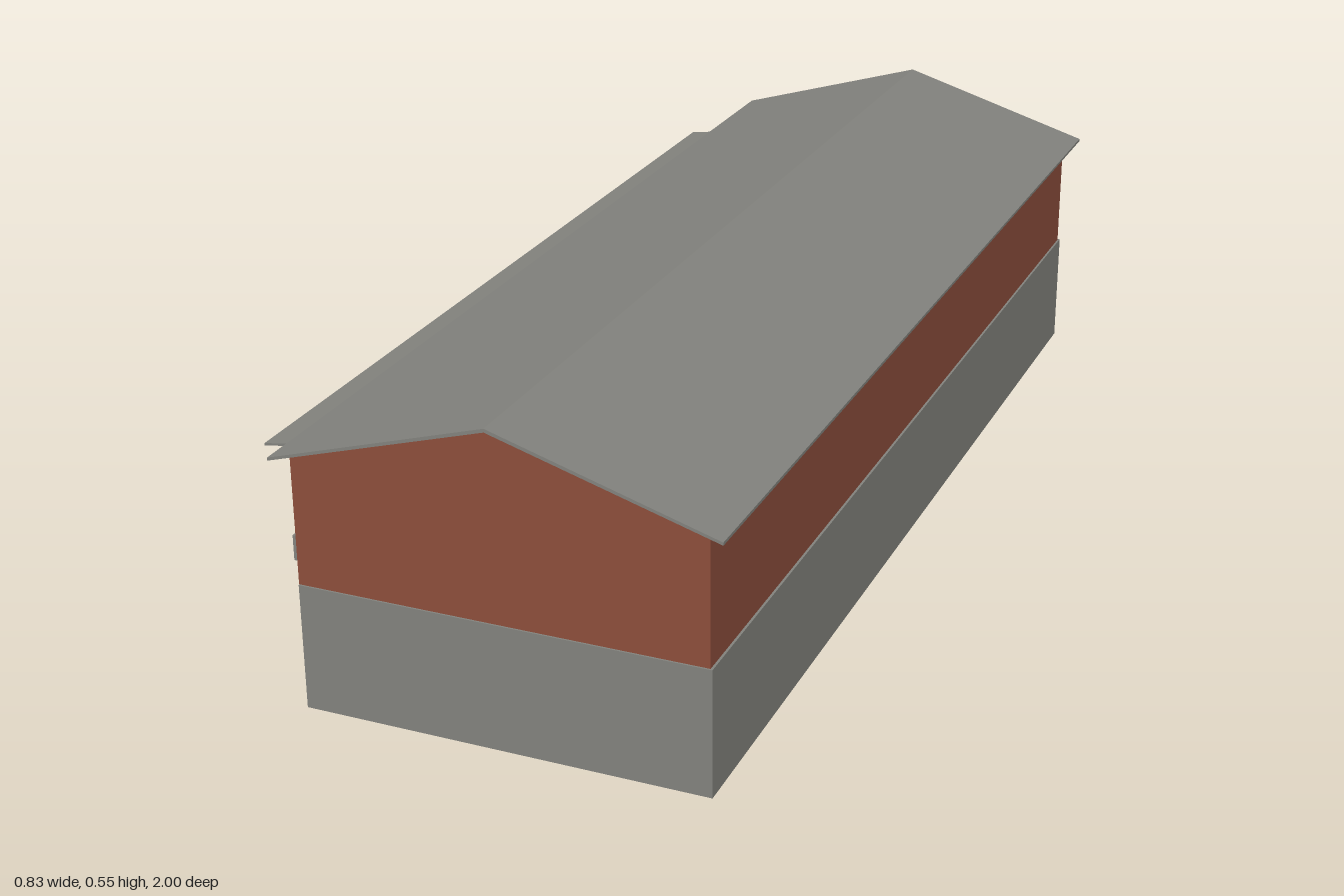
import * as THREE from 'three';

const mat = (name, color) => {
  const m = new THREE.MeshStandardMaterial({ color });
  m.name = name;
  return m;
};

export function createModel() {
  const model = new THREE.Group();
  model.name = 'goodsShed';
  const concrete = mat('concrete', 0x81817c);
  const brick = mat('brick', 0x8b4d3b);
  const green = mat('greenPaint', 0x385e4d);
  const white = mat('whitePlaster', 0xe0e0e0);

  const group = (name) => {
    const g = new THREE.Group();
    g.name = name;
    model.add(g);
    return g;
  };
  const add = (name, geometry, material, parent) => {
    const mesh = new THREE.Mesh(geometry, material);
    mesh.name = name;
    parent.add(mesh);
    return mesh;
  };
  // Box given by its limits on each axis
  const box = (name, material, x0, x1, y0, y1, z0, z1, parent = model) => {
    const mesh = add(name, new THREE.BoxGeometry(x1 - x0, y1 - y0, z1 - z0), material, parent);
    mesh.position.set((x0 + x1) / 2, (y0 + y1) / 2, (z0 + z1) / 2);
  };
  // Outline in x and y, extruded from z0 to z1
  const prism = (name, material, points, z0, z1, parent = model) => {
    const shape = new THREE.Shape(points.map(([x, y]) => new THREE.Vector2(x, y)));
    const geometry = new THREE.ExtrudeGeometry(shape, { depth: z1 - z0, bevelEnabled: false });
    geometry.translate(0, 0, z0);
    add(name, geometry, material, parent);
  };

  const deckY = 0.217;
  const wallX = -0.301;

  // Foundation and gabled brick hall
  box('foundation', concrete, -0.3, 0.389, 0, deckY, -0.98, 0.98);
  prism('brickWalls', brick, [
    [wallX, deckY], [0.385, deckY], [0.385, 0.433], [0.043, 0.535], [wallX, 0.433],
  ], -0.977, 0.977);

  // Thin folded roof, set slightly above the walls
  prism('roof', concrete, [
    [-0.326, 0.433], [0.043, 0.543], [0.414, 0.433],
    [0.414, 0.438], [0.043, 0.549], [-0.326, 0.438],
  ], -1, 1);

  // Loading dock with a pale deck surface and steps at the back end
  box('dock', concrete, -0.398, -0.3, 0.172, deckY, -0.875, 0.837);
  box('deckSurface', white, -0.388, -0.303, deckY, deckY + 0.001, -0.85, 0.6);
  const steps = group('dockSteps');
  for (let i = 0; i < 3; i++) {
    const z = -0.875 - i * 0.01;
    box('step', concrete, -0.396, -0.318, 0.172, 0.206 - i * 0.011, z - 0.01, z, steps);
  }

  // Awning over the dock and its brackets
  prism('awning', concrete, [
    [-0.415, 0.387], [-0.3, 0.404], [-0.3, 0.408], [-0.415, 0.391],
  ], -0.875, 0.87);
  const brackets = group('awningBrackets');
  for (let i = 0; i < 12; i++) {
    const z = -0.84 + i * (1.675 / 11);
    prism('bracket', green, [
      [-0.402, 0.386], [-0.3, 0.367], [-0.3, 0.402],
    ], z - 0.004, z + 0.004, brackets);
  }

  // Green freight doors and white wall panels, with brick left between them
  const dockSide = group('dockSide');
  const plate = (name, material, z0, z1) =>
    box(name, material, wallX - 0.001, wallX, deckY, 0.36, z0, z1, dockSide);
  for (const [z0, z1] of [[-0.62, -0.4], [-0.11, 0.1], [0.42, 0.62]]) {
    plate('freightDoor', green, z0, z1);
  }
  for (const [z0, z1] of [
    [-0.78, -0.7], [-0.38, -0.29], [-0.24, -0.13], [0.12, 0.24], [0.29, 0.4], [0.7, 0.78],
  ]) {
    plate('wallPanel', white, z0, z1);
  }

  // Cargo on the dock
  const cargo = group('cargo');
  const crate = (material, z, width, height, y = deckY, x = -0.369) =>
    box('crate', material, x - 0.0125, x + 0.0125, y, y + height, z - width / 2, z + width / 2, cargo);
  crate(brick, -0.7, 0.06, 0.022, deckY, -0.366);
  crate(brick, -0.27, 0.04, 0.022, deckY, -0.366);
  crate(concrete, -0.31, 0.03, 0.036);
  crate(concrete, 0.24, 0.035, 0.04);
  crate(brick, 0.7, 0.06, 0.023);
  crate(brick, 0.71, 0.035, 0.02, deckY + 0.023);

  return model;
}
